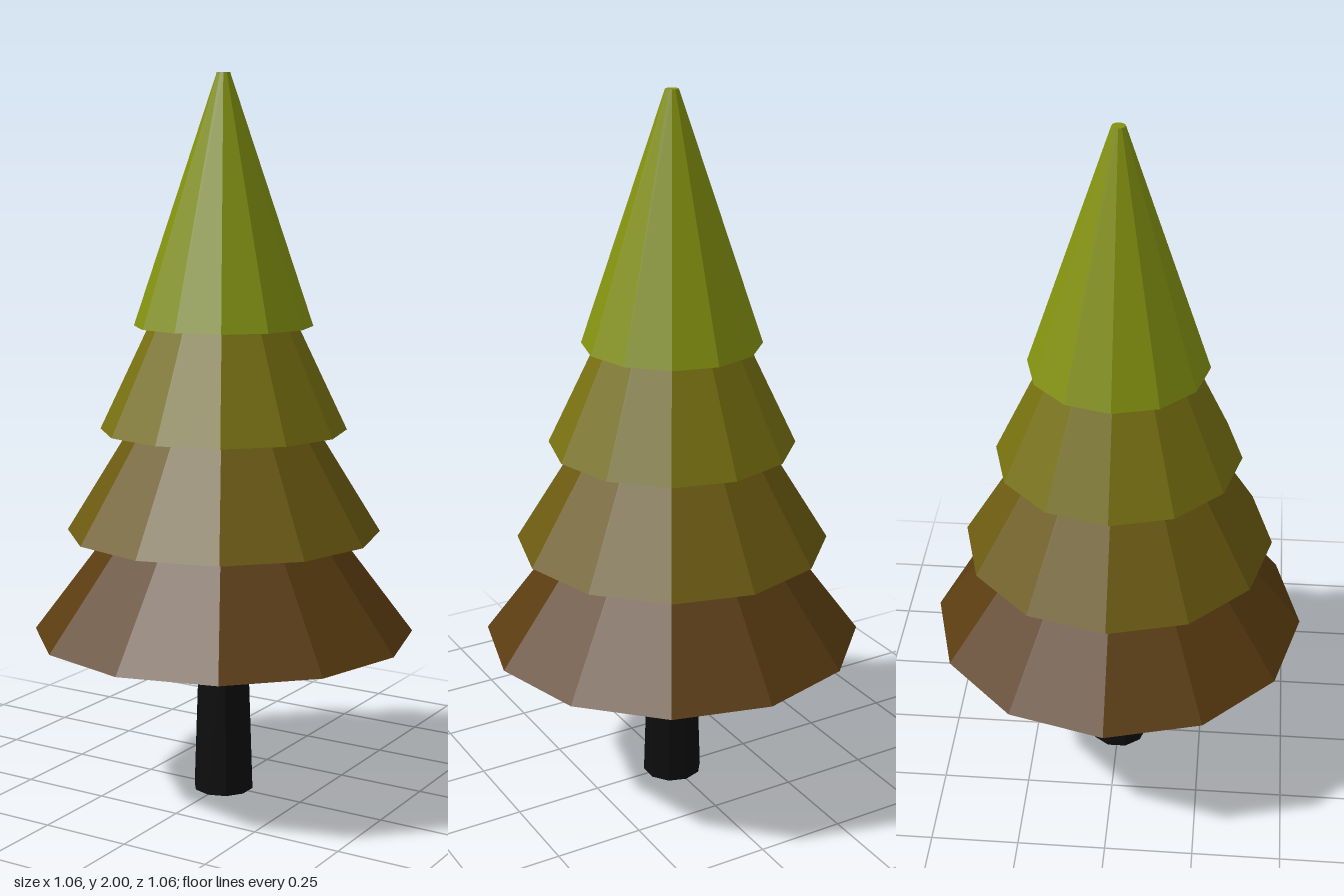
import * as THREE from 'three';

const TIERS = 4;
const TIER_HEIGHT = 0.68;
const TIP_RADIUS = 0.018;
// foliage shades from the lowest tier to the top
const SHADES = [0x5a3c10, 0x6c5a10, 0x777010, 0x849210];

// closed, faceted frustum standing on height y
function frustum(name, topRadius, bottomRadius, height, y, sides, color) {
  const geometry = new THREE.CylinderGeometry(topRadius, bottomRadius, height, sides);
  geometry.translate(0, height / 2, 0);
  const mesh = new THREE.Mesh(
    geometry,
    new THREE.MeshStandardMaterial({ color, flatShading: true })
  );
  mesh.name = name;
  mesh.position.y = y;
  return mesh;
}

export function createModel() {
  const tree = new THREE.Group();
  tree.name = 'pineTree';

  // tapering trunk, reaching a little into the lowest tier
  tree.add(frustum('trunk', 0.068, 0.085, 0.5, 0, 10, 0x0d0d0d));

  // overlapping foliage tiers, narrowing upwards
  const foliage = new THREE.Group();
  foliage.name = 'foliage';
  for (let i = 0; i < TIERS; i++) {
    const radius = 0.531 - 0.095 * i;
    const y = 0.462 + 0.286 * i;
    foliage.add(frustum(`foliageTier${i + 1}`, TIP_RADIUS, radius, TIER_HEIGHT, y, 12, SHADES[i]));
  }
  tree.add(foliage);

  return tree;
}
